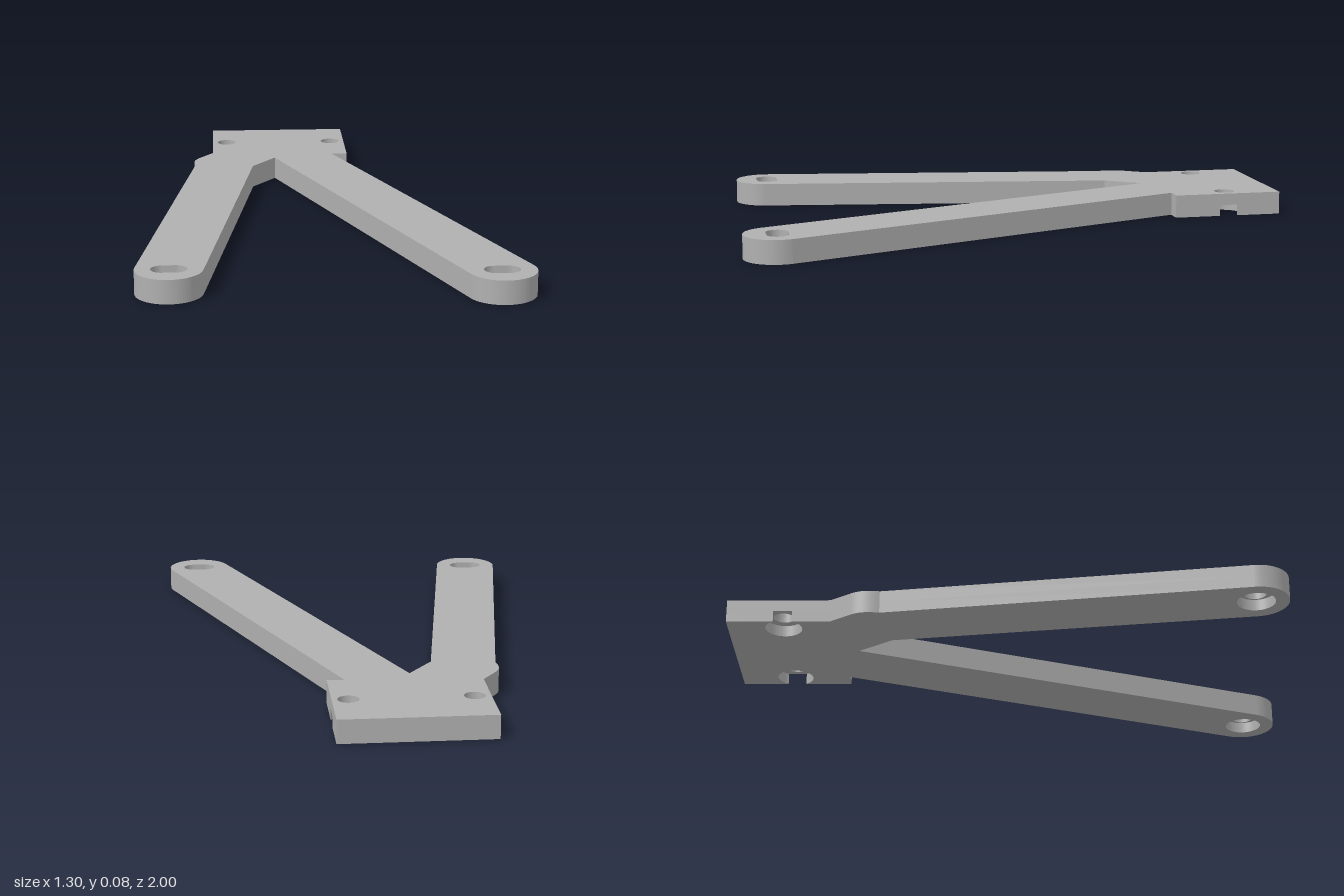
import * as THREE from 'three';

const HEIGHT = 0.082, RECESS = 0.04;
const BORE = 0.064;                       // recess radius under each hole
const PLATE = { left: -0.39, right: 0.135, back: 1, front: 0.605 };
const HOLES = [[-0.335, 0.805], [0.08, 0.805]];
const ARMS = [
  { x: -0.54, y: -0.82, r: 0.113, tilt: -0.153 },
  { x: 0.535, y: -0.885, r: 0.115, tilt: 0.371 },
];

// Outline in plan, with shape y pointing to the back (-z).
function outline(withBites) {
  const s = new THREE.Shape();
  const bite = Math.acos(0.055 / BORE);
  s.moveTo(PLATE.right, PLATE.back);
  s.lineTo(PLATE.left, PLATE.back);
  // recess breaking through the plate edge
  if (withBites) s.absarc(...HOLES[0], BORE, Math.PI - bite, -Math.PI + bite, true);
  s.lineTo(PLATE.left, 0.64);
  s.lineTo(-0.442, 0.567);
  s.quadraticCurveTo(-0.472, 0.525, -0.458, 0.465);
  // rounded arm ends joined at the crotch
  const [a, b] = ARMS;
  s.absarc(a.x, a.y, a.r, Math.PI + a.tilt, 2 * Math.PI + a.tilt, false);
  s.lineTo(-0.238, 0.434);
  s.lineTo(-0.15, 0.555);
  s.absarc(b.x, b.y, b.r, Math.PI + b.tilt, 2 * Math.PI + b.tilt, false);
  s.lineTo(0.075, PLATE.front);
  s.lineTo(PLATE.right, PLATE.front);
  if (withBites) s.absarc(...HOLES[1], BORE, -bite, -2 * Math.PI + bite, true);
  s.closePath();
  return s;
}

function roundHole(x, y, r) {
  return new THREE.Path().absarc(x, y, r, 0, 2 * Math.PI, true);
}

function slotHole(x, y, halfLength, r) {
  const d = halfLength - r, p = new THREE.Path();
  p.absarc(x + d, y, r, Math.PI / 2, -Math.PI / 2, true);
  p.absarc(x - d, y, r, -Math.PI / 2, -1.5 * Math.PI, true);
  p.closePath();
  return p;
}

function layer(name, shape, y, depth, material) {
  const geometry = new THREE.ExtrudeGeometry(shape, { depth, bevelEnabled: false, curveSegments: 32 });
  geometry.rotateX(-Math.PI / 2);
  const mesh = new THREE.Mesh(geometry, material);
  mesh.name = name;
  mesh.position.y = y;
  return mesh;
}

export function createModel() {
  const group = new THREE.Group();
  group.name = 'forkedBracket';
  const grey = new THREE.MeshStandardMaterial({ color: 0xb0b0b0 });
  grey.name = 'grey';

  // lower half: wide recesses
  const lower = outline(true);
  for (const a of ARMS) lower.holes.push(roundHole(a.x, a.y, 0.066));
  group.add(layer('recessedLowerPlate', lower, 0, RECESS, grey));

  // upper half: screw holes and adjustment slots
  const upper = outline(false);
  for (const [x, y] of HOLES) upper.holes.push(roundHole(x, y, 0.036));
  for (const a of ARMS) upper.holes.push(slotHole(a.x, a.y, 0.06, 0.038));
  group.add(layer('upperPlate', upper, RECESS, HEIGHT - RECESS, grey));

  return group;
}
